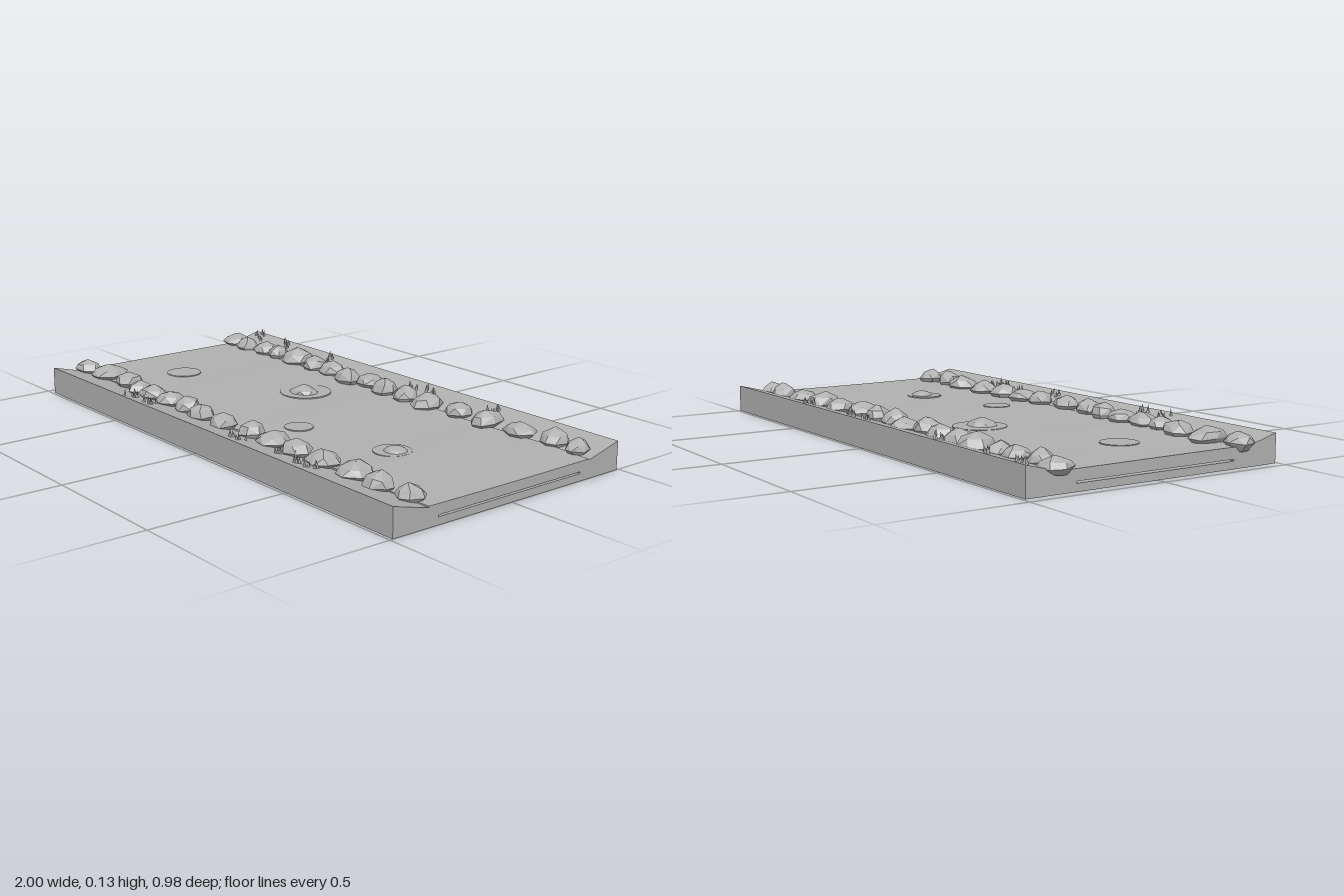
import * as THREE from 'three';
import { ConvexGeometry } from 'three/addons/geometries/ConvexGeometry.js';

const X0 = -0.965, X1 = 1.0, LEN = X1 - X0, MID = (X0 + X1) / 2;

// seeded random numbers
let seed = 7;
const rand = (a = 0, b = 1) => {
  seed = (seed * 16807) % 2147483647;
  return a + (b - a) * (seed / 2147483647);
};

const stone = new THREE.MeshStandardMaterial({ color: 0xb0b0b0 });
stone.name = 'plain grey';

function add(parent, geometry, name, x = 0, y = 0, z = 0) {
  const mesh = new THREE.Mesh(geometry, stone);
  mesh.name = name;
  mesh.position.set(x, y, z);
  parent.add(mesh);
  return mesh;
}

// height of the water and of the sloping bank
const waterY = (x, z) => 0.069 + 0.0018 * Math.sin(x * 11 + z * 2) + 0.001 * Math.sin(x * 23 - z * 5);
const bankY = (z) => 0.066 + 0.034 * (Math.abs(z) - 0.36) / 0.13;

// ground: channel profile with a thin slit under the river bed
function groundGeometry() {
  const shape = new THREE.Shape([
    [-0.49, 0], [0.49, 0], [0.49, 0.1], [0.36, 0.066], [0.34, 0.062],
    [-0.34, 0.062], [-0.36, 0.066], [-0.49, 0.1],
  ].map(([z, y]) => new THREE.Vector2(z, y)));
  shape.holes.push(new THREE.Path([
    [-0.31, 0.026], [-0.31, 0.032], [0.31, 0.032], [0.31, 0.026],
  ].map(([z, y]) => new THREE.Vector2(z, y))));
  const geo = new THREE.ExtrudeGeometry(shape, { depth: LEN, bevelEnabled: false });
  geo.rotateY(-Math.PI / 2); // profile across z, length along -x
  geo.translate(X1, 0, 0);
  return geo;
}

// water: thin slab whose top follows gentle waves
function waterGeometry() {
  const geo = new THREE.BoxGeometry(LEN, 0.01, 0.7, 80, 1, 20);
  geo.translate(MID, 0.065, 0);
  const p = geo.attributes.position;
  for (let i = 0; i < p.count; i++) {
    if (p.getY(i) > 0.065) p.setY(i, waterY(p.getX(i), p.getZ(i)));
  }
  geo.computeVertexNormals();
  return geo;
}

// faceted boulder: hull of uneven rings
function rockGeometry(w, d, h) {
  const pts = [];
  const turn = rand(0, 6.28);
  const rings = [[-0.9, 0.55, 5], [-0.1, 1, 7], [0.5, 0.78, 6], [0.95, 0.2, 3]];
  for (const [y, r, n] of rings) {
    for (let i = 0; i < n; i++) {
      const a = turn + y + (i + rand(-0.2, 0.2)) / n * Math.PI * 2;
      const s = r * rand(0.92, 1.06);
      pts.push(new THREE.Vector3(Math.cos(a) * s * w / 2, (y + rand(-0.1, 0.1)) * h, Math.sin(a) * s * d / 2));
    }
  }
  return new ConvexGeometry(pts);
}

// rows of boulders: x, z, width, depth
const backRocks = [
  [-0.945, -0.37, 0.11, 0.12], [-0.845, -0.35, 0.1, 0.09], [-0.745, -0.37, 0.1, 0.1], [-0.66, -0.37, 0.08, 0.09],
  [-0.54, -0.38, 0.13, 0.13], [-0.42, -0.37, 0.1, 0.11], [-0.315, -0.37, 0.12, 0.1], [-0.19, -0.345, 0.12, 0.1],
  [-0.1, -0.38, 0.1, 0.11], [0.015, -0.35, 0.1, 0.1], [0.13, -0.35, 0.1, 0.1], [0.25, -0.345, 0.11, 0.13],
  [0.39, -0.365, 0.11, 0.11], [0.53, -0.36, 0.1, 0.14], [0.685, -0.365, 0.13, 0.11], [0.825, -0.38, 0.1, 0.1],
  [0.93, -0.375, 0.08, 0.1],
];
const frontRocks = [
  [-0.945, 0.35, 0.11, 0.1], [-0.82, 0.325, 0.11, 0.15], [-0.675, 0.33, 0.11, 0.11], [-0.56, 0.355, 0.08, 0.1],
  [-0.47, 0.35, 0.12, 0.11], [-0.365, 0.345, 0.11, 0.11], [-0.25, 0.35, 0.1, 0.1], [-0.145, 0.365, 0.11, 0.1],
  [-0.01, 0.365, 0.11, 0.1], [0.125, 0.345, 0.1, 0.1], [0.245, 0.345, 0.12, 0.12], [0.375, 0.35, 0.11, 0.11],
  [0.51, 0.345, 0.12, 0.12], [0.655, 0.34, 0.13, 0.13], [0.785, 0.355, 0.11, 0.1], [0.915, 0.345, 0.1, 0.1],
];

// grass tufts: x, z of each cluster
const tufts = [
  [-0.9, -0.45], [-0.71, -0.45], [-0.42, -0.445], [0.075, -0.425], [0.175, -0.445], [0.47, -0.44],
  [-0.47, 0.44], [-0.36, 0.435], [0.165, 0.425], [0.38, 0.405], [0.49, 0.445], [0.55, 0.43],
];

// ripple discs: x, z, radius
const ripples = [[-0.69, 0.07, 0.065], [0.16, 0.17, 0.05], [0.55, 0.09, 0.065], [-0.18, -0.13, 0.095]];

export function createModel() {
  const model = new THREE.Group();
  model.name = 'riverTile';

  add(model, groundGeometry(), 'ground');
  add(model, waterGeometry(), 'water');

  for (const [name, list] of [['backRocks', backRocks], ['frontRocks', frontRocks]]) {
    const row = new THREE.Group();
    row.name = name;
    for (const [x, z, w, d] of list) {
      add(row, rockGeometry(w, d, rand(0.029, 0.043)), 'rock', x, 0.083, z);
    }
    model.add(row);
  }

  // grass blades as small leaning cones
  const grass = new THREE.Group();
  grass.name = 'grass';
  const blade = new THREE.ConeGeometry(0.007, 0.028, 4);
  blade.translate(0, 0.014, 0);
  for (const [x, z] of tufts) {
    for (let i = 0; i < 5; i++) {
      const bz = z + rand(-0.03, 0.03);
      const b = add(grass, blade, 'blade', x + rand(-0.035, 0.035), bankY(bz) - 0.002, bz);
      b.scale.y = rand(0.75, 1.1);
      b.rotation.set(rand(-0.2, 0.2), rand(0, 3), rand(-0.2, 0.2));
    }
  }
  model.add(grass);

  // flat ripples on the water
  for (const [x, z, r] of ripples) {
    add(model, new THREE.CylinderGeometry(r, r, 0.008, 32), 'ripple', x, waterY(x, z) - 0.001, z);
  }

  // stones breaking the surface
  add(model, rockGeometry(0.13, 0.11, 0.032), 'riverRock', -0.175, 0.067, -0.12);
  const dome = new THREE.SphereGeometry(1, 20, 10);
  add(model, dome, 'smoothStone', 0.56, 0.066, 0.085).scale.set(0.042, 0.021, 0.04);

  return model;
}
